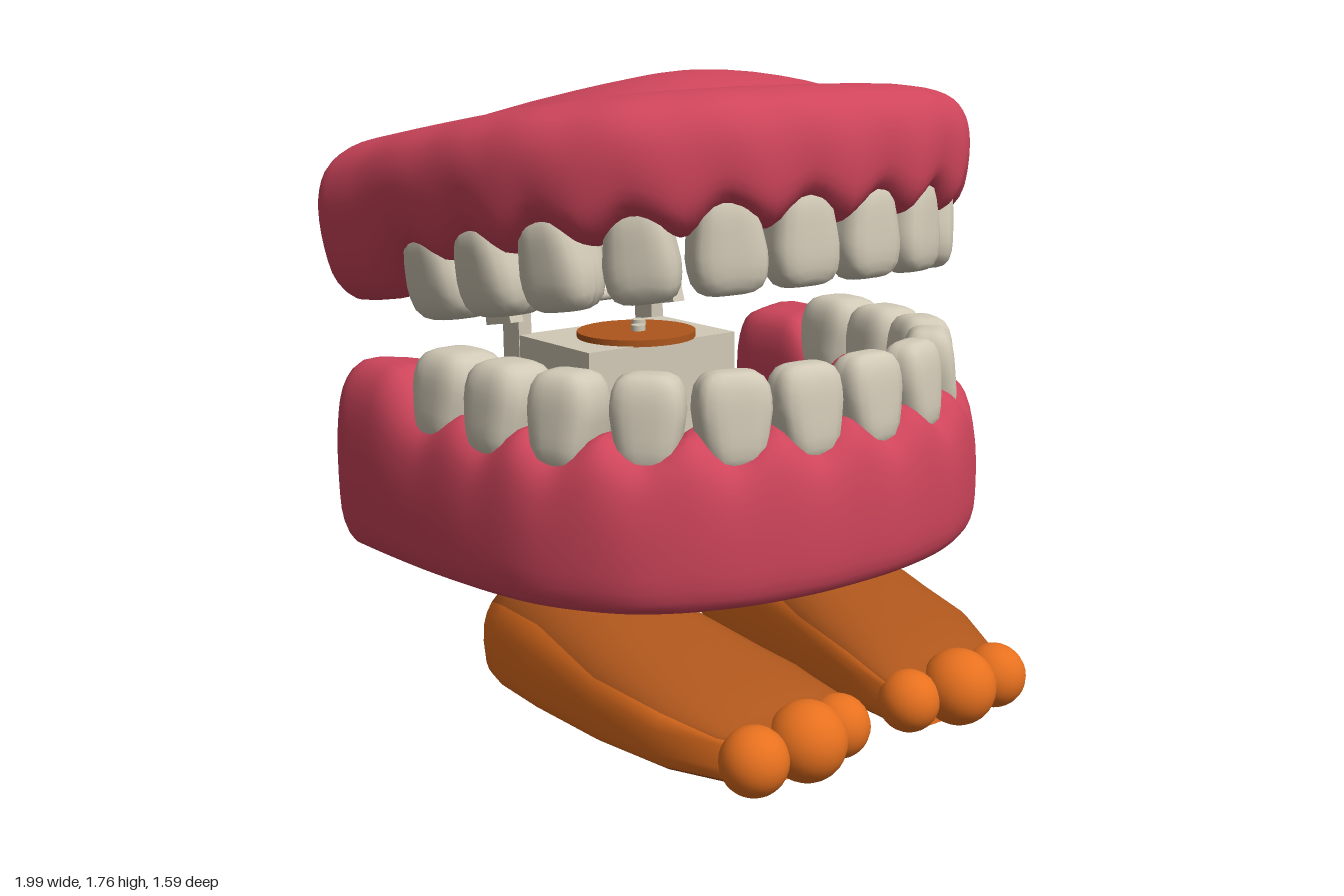
import * as THREE from 'three';
import { toCreasedNormals } from 'three/addons/utils/BufferGeometryUtils.js';

const V = (x, y, z) => new THREE.Vector3(x, y, z);
const material = (name, color) => Object.assign(new THREE.MeshStandardMaterial({ color }), { name });

// [x, z, outward angle, half width, half depth] of the teeth on one side
const TEETH = [
  [0.11, 0.48, 0.08, 0.1, 0.07],
  [0.32, 0.44, 0.35, 0.1, 0.07],
  [0.5, 0.33, 0.8, 0.095, 0.08],
  [0.63, 0.17, 1.2, 0.095, 0.09],
  [0.68, -0.03, 1.45, 0.105, 0.105],
  [0.7, -0.25, 1.5, 0.115, 0.11],
];
const ALL_TEETH = TEETH.flatMap(([x, z, a, w, d]) => [[x, z, a, w, d], [-x, z, -a, w, d]]);

// Horseshoe curves, mirrored from one half
function horseshoe(half) {
  const right = half.map(([x, z]) => V(x, 0, z));
  const left = half.slice(0, -1).reverse().map(([x, z]) => V(-x, 0, z));
  return new THREE.CatmullRomCurve3([...right, ...left]);
}
const OUTER = horseshoe([[0.89, -0.67], [0.875, -0.4], [0.832, -0.05], [0.768, 0.2], [0.62, 0.42], [0.36, 0.56], [0, 0.61]]);
const INNER = horseshoe([[0.575, -0.67], [0.57, -0.35], [0.55, -0.1], [0.49, 0.09], [0.37, 0.22], [0.2, 0.28], [0, 0.29]]);

// Gum sections: across from outer (0) to inner (1), and relative height
const section = (base) => new THREE.CatmullRomCurve3([
  ...base, [0.02, 0.68], [0.09, 0.88], [0.25, 1], [0.6, 1],
  [0.86, 0.95], [0.97, 0.8], [1, 0.5], [0.99, 0.1], [0.92, 0],
].map(([u, h]) => V(u, h, 0)), true).getPoints(34).slice(0, -1);
const SQUARE_BASE = section([[0.5, 0], [0.12, 0], [0.03, 0.1], [0, 0.35]]);
const ROUND_BASE = section([[0.55, 0.005], [0.3, 0.06], [0.12, 0.16], [0.03, 0.3], [0, 0.46]]);

// Skin closed rings of equal length and cap both ends
function loft(rings, crease = 0.8, pickGroup = null) {
  const n = rings[0].length, last = rings.length - 1;
  const mean = (r) => r.reduce((s, p) => s.add(p), V(0, 0, 0)).divideScalar(n);
  const points = [...rings.flat(), mean(rings[0]), mean(rings[last])];
  const start = points.length - 2, end = points.length - 1;
  const tris = [];
  for (let j = 0; j < n; j++) {
    const k = (j + 1) % n;
    for (let i = 0; i < last; i++) {
      const a = i * n + j, b = i * n + k, c = b + n, d = a + n;
      tris.push([a, b, c], [a, c, d]);
    }
    tris.push([start, k, j], [end, last * n + j, last * n + k]);
  }
  const geo = new THREE.BufferGeometry().setFromPoints(points);
  if (pickGroup) {
    const sets = [[], []];
    for (const t of tris) {
      const normal = new THREE.Triangle(...t.map((i) => points[i])).getNormal(V(0, 0, 0));
      sets[pickGroup(normal)].push(...t);
    }
    geo.setIndex([...sets[0], ...sets[1]]);
    geo.addGroup(0, sets[0].length, 0);
    geo.addGroup(sets[0].length, sets[1].length, 1);
  } else geo.setIndex(tris.flat());
  return toCreasedNormals(geo, crease);
}

// Gum with dips around the teeth and taller, rounded ends
function gumGeometry(height, profile) {
  const ring = (t, s) => {
    const o = OUTER.getPoint(t), inn = INNER.getPoint(t);
    const root = o.clone().lerp(inn, 0.38);
    const near = Math.min(...ALL_TEETH.map(([x, z]) => Math.hypot(root.x - x, root.z - z)));
    const top = height - 0.07 * Math.exp(-((near / 0.075) ** 2))
      + 0.075 * THREE.MathUtils.smoothstep(-root.z, 0.3, 0.45);
    return profile.map((p) => {
      const q = o.clone().lerp(inn, 0.5 + (p.x - 0.5) * s);
      q.y = top * (0.5 + (p.y - 0.5) * s);
      return q;
    });
  };
  const rings = [ring(0, 0.3), ring(0, 0.65)], N = 140;
  for (let i = 0; i <= N; i++) {
    const t = i / N, f = Math.min(1, Math.min(t, 1 - t) / 0.025);
    rings.push(ring(t, 0.8 + 0.2 * Math.sqrt(1 - (1 - f) ** 2)));
  }
  rings.push(ring(1, 0.65), ring(1, 0.3));
  return loft(rings);
}

// Outline filling the inside of the horseshoe, scaled about a centre point
const plateRing = (y, back, s = 1) => INNER.getPoints(48).map((p) =>
  V(p.x * 1.03 * s, y, -0.05 + (Math.max(p.z * 1.02, back) + 0.05) * s));

// Rounded block, tapering to the root
function toothGeometry(w, h, d) {
  const geo = new THREE.SphereGeometry(1, 24, 16), pos = geo.attributes.position;
  for (let i = 0; i < pos.count; i++) {
    const p = V(0, 0, 0).fromBufferAttribute(pos, i);
    p.divideScalar((p.x ** 4 + p.y ** 4 + p.z ** 4) ** 0.25);
    const taper = p.y < 0.2 ? 1 + 0.22 * (p.y - 0.2) : 1;
    pos.setXYZ(i, p.x * w * taper, p.y * h, p.z * d * (1 - 0.15 * p.y));
  }
  geo.computeVertexNormals();
  return geo;
}

// Foot body, [z, centre x, half width, top]; its upper side and sole take the second colour
function footGeometry(side) {
  const sections = [
    [-0.42, 0.39, 0.16, 0.28], [-0.385, 0.39, 0.19, 0.33], [-0.28, 0.388, 0.215, 0.358], [-0.08, 0.38, 0.235, 0.358],
    [0.2, 0.36, 0.25, 0.3], [0.45, 0.325, 0.25, 0.24], [0.6, 0.29, 0.215, 0.19], [0.66, 0.285, 0.17, 0.15],
  ];
  const power = (v, e) => Math.sign(v) * Math.abs(v) ** e;
  return loft(sections.map(([z, cx, hw, top]) => Array.from({ length: 32 }, (_, j) => {
    const a = (j / 32) * Math.PI * 2, up = Math.sin(a);
    const y = 0.14 + (up > 0 ? power(up, 0.8) * (top - 0.14) : power(up, 0.45) * 0.13);
    const heel = z < -0.35 ? 1.4 * (y - 0.16) ** 2 : 0;
    return V(side * cx + hw * power(Math.cos(a), up > 0 ? 0.75 : 0.45), y, z + heel);
  })), 1.1, (normal) => (normal.y > 0.55 || normal.y < -0.6 ? 1 : 0));
}

export function createModel() {
  const pink = material('gum pink', 0xcf455b);
  const ivory = material('ivory', 0xd2cab7);
  const orange = material('foot orange', 0xe8711f);
  const brown = material('dark orange', 0xae561c);

  const model = new THREE.Group();
  model.name = 'windUpTeeth';
  const body = new THREE.Group();
  body.name = 'body';
  body.position.x = -0.108;
  model.add(body);

  const add = (parent, name, geo, mat, x = 0, y = 0, z = 0) => {
    const mesh = new THREE.Mesh(geo, mat);
    mesh.name = name;
    mesh.position.set(x, y, z);
    parent.add(mesh);
    return mesh;
  };

  // Jaws, both built base down
  function jaw(name, gumHeight, profile, plateRings) {
    const group = new THREE.Group();
    group.name = name;
    add(group, 'gum', gumGeometry(gumHeight, profile), pink);
    add(group, 'plate', loft(plateRings), pink);
    for (const [x, z, a, w, d] of ALL_TEETH) {
      add(group, 'tooth', toothGeometry(w, 0.13, d), ivory, x, gumHeight + 0.02, z).rotation.y = a;
    }
    body.add(group);
    return group;
  }
  jaw('lowerJaw', 0.45, SQUARE_BASE, [plateRing(0.19, -0.57), plateRing(0.005, -0.57)]).position.y = 0.44;

  const dome = [1, 0.85, 0.7, 0.55, 0.4, 0.25, 0.1].map((s) => plateRing(0.01 - 0.11 * (1 - s ** 1.8), -0.62, s));
  const upper = jaw('upperJaw', 0.37, ROUND_BASE, [plateRing(0.13, -0.62), ...dome]);
  upper.position.set(0, 1.674, -0.08);
  upper.rotation.set(-0.157, 0, Math.PI);

  // Drive box, turning disc and pins
  add(body, 'driveBox', new THREE.BoxGeometry(0.54, 0.35, 0.38), ivory, 0, 0.795, -0.46);
  add(body, 'driveDisc', new THREE.CylinderGeometry(0.18, 0.18, 0.02, 32), brown, 0, 0.978, -0.41);
  for (const [x, z] of [[0, -0.4], [0.06, -0.48]]) {
    add(body, 'discPin', new THREE.CylinderGeometry(0.022, 0.022, 0.04, 16), ivory, x, 0.985, z);
  }

  // Hinge
  const rod = add(body, 'hingeRod', new THREE.CylinderGeometry(0.018, 0.018, 0.58, 16), ivory, 0, 1.05, -0.708);
  rod.rotation.z = Math.PI / 2;
  const strutShape = new THREE.Shape([[0.595, 1.02], [0.735, 0.995], [0.8, 1.4], [0.73, 1.41]]
    .map(([z, y]) => new THREE.Vector2(z, y)));
  const strut = new THREE.ExtrudeGeometry(strutShape, { depth: 0.045, bevelEnabled: false });
  strut.translate(0, 0, -0.0225).rotateY(Math.PI / 2);
  for (const side of [-1, 1]) {
    add(body, 'lowerStrut', new THREE.BoxGeometry(0.045, 0.42, 0.09), ivory, side * 0.25, 0.86, -0.685);
    add(body, 'upperStrut', strut, ivory, side * 0.305);
  }

  // Winding key
  const key = new THREE.Group();
  key.name = 'windingKey';
  key.position.set(0, 0.65, -0.38);
  model.add(key);
  const disc = (name, r, x0, x1, y = 0, squash = 1) => {
    const geo = new THREE.CylinderGeometry(r, r, x1 - x0, 40).rotateZ(Math.PI / 2).scale(1, squash, 1);
    add(key, name, geo, ivory, (x0 + x1) / 2, y);
  };
  disc('keyShaft', 0.058, 0.7, 0.9);
  disc('keyHub', 0.102, 0.89, 1);
  for (const side of [-1, 1]) disc('keyWing', 0.145, 0.925, 0.975, side * 0.125, 0.83);

  // Feet
  for (const side of [-1, 1]) {
    const foot = new THREE.Group();
    foot.name = side > 0 ? 'leftFoot' : 'rightFoot';
    body.add(foot);
    add(foot, 'footBody', footGeometry(side), [orange, brown]);
    add(foot, 'ankle', new THREE.CylinderGeometry(0.077, 0.077, 0.14, 24), brown, side * 0.383, 0.39, -0.13);
    for (const [x, y, z, r] of [[0.13, 0.098, 0.645, 0.085], [0.278, 0.113, 0.688, 0.105], [0.44, 0.1, 0.672, 0.09]]) {
      add(foot, 'toe', new THREE.SphereGeometry(r, 24, 16), orange, side * x, y, z);
    }
  }
  return model;
}
